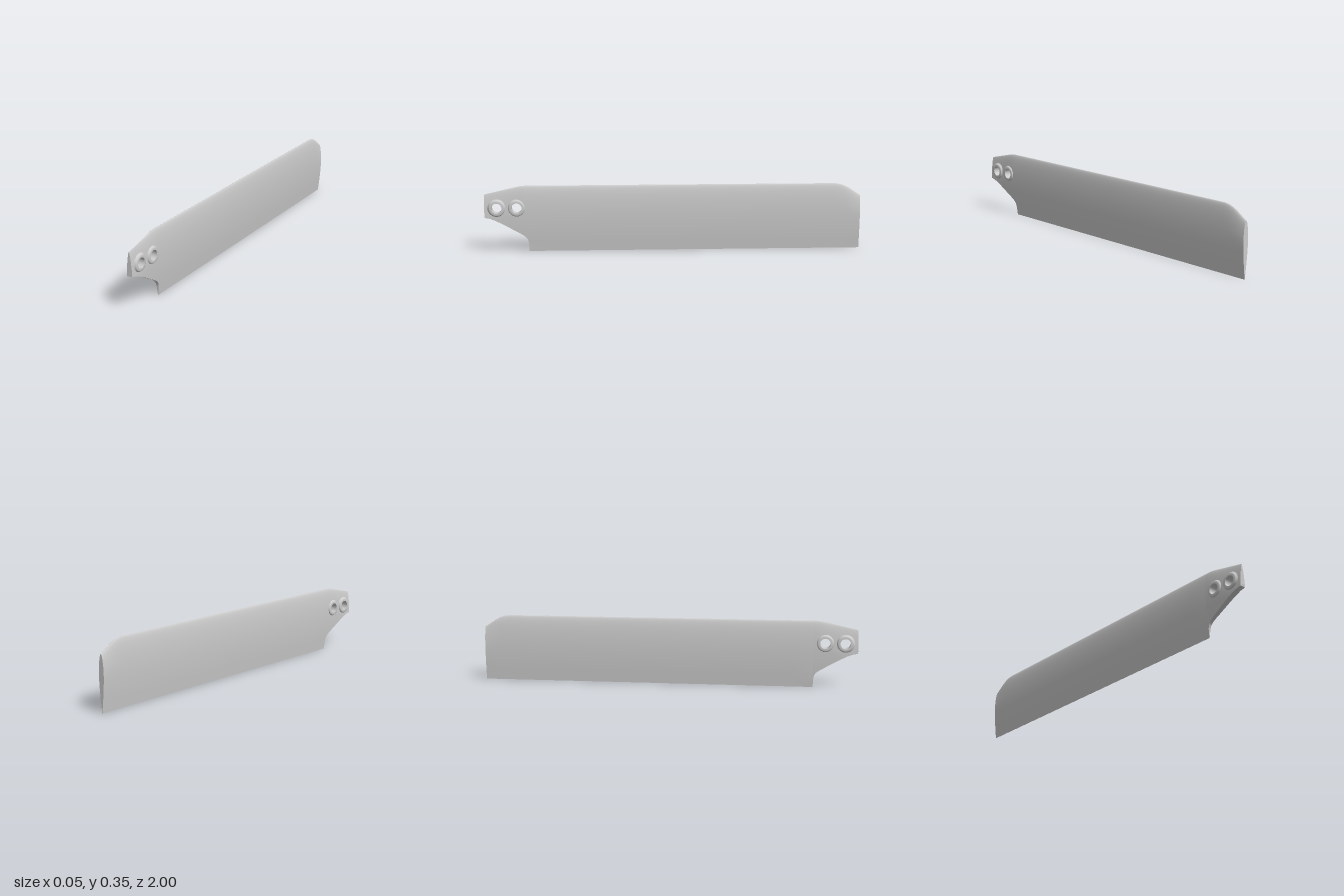
import * as THREE from 'three';
import { toCreasedNormals } from 'three/addons/utils/BufferGeometryUtils.js';

const material = new THREE.MeshStandardMaterial({ color: 0xcccccc });
const HOLE_Y = 0.235, HOLE_R = 0.04, ROWS = 24, BIG = 100;

// Outline of the blade as [z, y] points, from tip (z = -1) to root (z = 1)
const TOP = [[-1, 0.288], [-0.975, 0.305], [-0.945, 0.325], [-0.92, 0.339], [-0.895, 0.348], [-0.865, 0.353],
  [0.79, 0.353], [0.81, 0.351], [0.84, 0.345], [1, 0.308]];
const BOTTOM = [[-1, 0], [0.768, 0], [0.77, 0.045], [0.775, 0.065], [0.783, 0.077], [0.8, 0.09],
  [0.9, 0.147], [0.94, 0.167], [0.97, 0.179], [1, 0.185]];

function sample(points, z) {
  for (let i = 1; i < points.length; i++) {
    const [z0, y0] = points[i - 1], [z1, y1] = points[i];
    if (z <= z1) return y0 + (y1 - y0) * (z - z0) / (z1 - z0);
  }
  return points[points.length - 1][1];
}

// Half thickness: rounded leading edge on top, thin trailing edge below, slimmer nose at the root
function halfThickness(z, y) {
  const k = THREE.MathUtils.smoothstep(z, 0.78, 1);
  const reach = 0.13 + 0.07 * k;
  const d = Math.min(1, Math.max(0, (sample(TOP, z) - y) / reach));
  const nose = Math.pow(1 - (1 - d) ** 2, 0.5 + 0.2 * k);
  const tail = 1 - Math.pow(Math.max(0, 1 - y / 0.22), 1.8);
  return 0.0175 * nose * Math.max(0.04, tail);
}

// Point of row j in the section at z; rows crowd towards the leading edge
function rowPoint(z, j) {
  const top = sample(TOP, z), s = j / ROWS;
  return [z, top + (sample(BOTTOM, z) - top) * s * s];
}

function bladeGeometry() {
  const pos = [];
  const P = ([z, y], side) => new THREE.Vector3(side * halfThickness(z, y), y, z).multiplyScalar(BIG);
  const tri = (a, b, c) => {
    if (a.distanceTo(b) < 1e-5 || b.distanceTo(c) < 1e-5 || c.distanceTo(a) < 1e-5) return;
    for (const p of [a, b, c]) pos.push(p.x, p.y, p.z);
  };
  const quad = (a, b, c, d) => { tri(a, b, c); tri(a, c, d); };
  // Matching quads on the left and right faces
  const skin = (a, b, c, d) => {
    quad(P(a, 1), P(b, 1), P(c, 1), P(d, 1));
    quad(P(d, -1), P(c, -1), P(b, -1), P(a, -1));
  };
  const underside = (a, b) => quad(P(a, 1), P(b, 1), P(b, -1), P(a, -1));

  // Main span
  const stations = [-1, -0.975, -0.945, -0.92, -0.895, -0.865];
  for (let i = 1; i <= 16; i++) stations.push(-0.865 + 1.633 * i / 16);
  stations.push(0.77, 0.775);
  for (let k = 0; k < stations.length - 1; k++) {
    const z0 = stations[k], z1 = stations[k + 1];
    for (let j = 0; j < ROWS; j++)
      skin(rowPoint(z1, j + 1), rowPoint(z0, j + 1), rowPoint(z0, j), rowPoint(z1, j));
    underside(rowPoint(z0, ROWS), rowPoint(z1, ROWS));
  }

  // Root cells, each meshed in rings around its bolt hole
  for (const [z0, z1, zc] of [[0.775, 0.8825, 0.83], [0.8825, 1, 0.935]]) {
    const n = 16, rim = [];
    const at = i => z1 + (z0 - z1) * i / n;
    for (let i = 0; i < n; i++) {
      rim.push([at(i), sample(BOTTOM, at(i))]);
      underside([at(i + 1), sample(BOTTOM, at(i + 1))], [at(i), sample(BOTTOM, at(i))]);
    }
    for (let j = ROWS; j > 0; j--) rim.push(rowPoint(z0, j));
    for (let i = n; i > 0; i--) rim.push([at(i), sample(TOP, at(i))]);
    for (let j = 0; j < ROWS; j++) rim.push(rowPoint(z1, j));
    const steps = 10;
    const ringPoint = (i, u) => {
      const [z, y] = rim[i % rim.length];
      if (u === steps) return [z, y];
      const t = 1 - (1 - u / steps) ** 2, f = HOLE_R / Math.hypot(z - zc, y - HOLE_Y);
      const m = f + (1 - f) * t;
      return [zc + (z - zc) * m, HOLE_Y + (y - HOLE_Y) * m];
    };
    for (let i = 0; i < rim.length; i++)
      for (let u = 0; u < steps; u++)
        skin(ringPoint(i, u), ringPoint(i, u + 1), ringPoint(i + 1, u + 1), ringPoint(i + 1, u));
  }

  // Flat end faces at tip and root
  for (let j = 0; j < ROWS; j++) {
    for (const end of [-1, 1]) {
      const hi = rowPoint(end, j), lo = rowPoint(end, j + 1);
      quad(P(lo, -end), P(lo, end), P(hi, end), P(hi, -end));
    }
  }

  const geometry = new THREE.BufferGeometry();
  geometry.setAttribute('position', new THREE.Float32BufferAttribute(pos, 3));
  return toCreasedNormals(geometry, 0.9).scale(1 / BIG, 1 / BIG, 1 / BIG);
}

// Bolt bushing: open bore with a raised rim flared into both faces
function bushingGeometry() {
  const half = [[0.027, 0.024], [0.0365, 0.024], [0.0405, 0.0228], [0.0425, 0.0205], [0.0435, 0.0175], [0.0455, 0.0155], [0.049, 0.013]];
  const profile = [
    ...half.map(([r, x]) => new THREE.Vector2(r, -x)).reverse(),
    ...half.map(([r, x]) => new THREE.Vector2(r, x)),
  ];
  const lathe = new THREE.LatheGeometry(profile, 48).scale(BIG, BIG, BIG);
  return toCreasedNormals(lathe, 0.7).scale(1 / BIG, 1 / BIG, 1 / BIG).rotateZ(Math.PI / 2);
}

export function createModel() {
  const group = new THREE.Group();
  const add = (name, geometry, mat = material) => {
    const mesh = new THREE.Mesh(geometry, mat);
    mesh.name = name;
    group.add(mesh);
    return mesh;
  };

  add('blade', bladeGeometry());

  const bushingMaterial = material.clone();
  bushingMaterial.side = THREE.DoubleSide;
  const bushing = bushingGeometry();
  for (const z of [0.83, 0.935]) add('bushing', bushing, bushingMaterial).position.set(0, HOLE_Y, z);

  // Small pins in the root end face
  const pin = new THREE.CylinderGeometry(0.0065, 0.0065, 0.01, 20).rotateX(Math.PI / 2);
  for (const y of [0.198, 0.27]) add('rootPin', pin).position.set(0, y, 0.996);

  return group;
}
